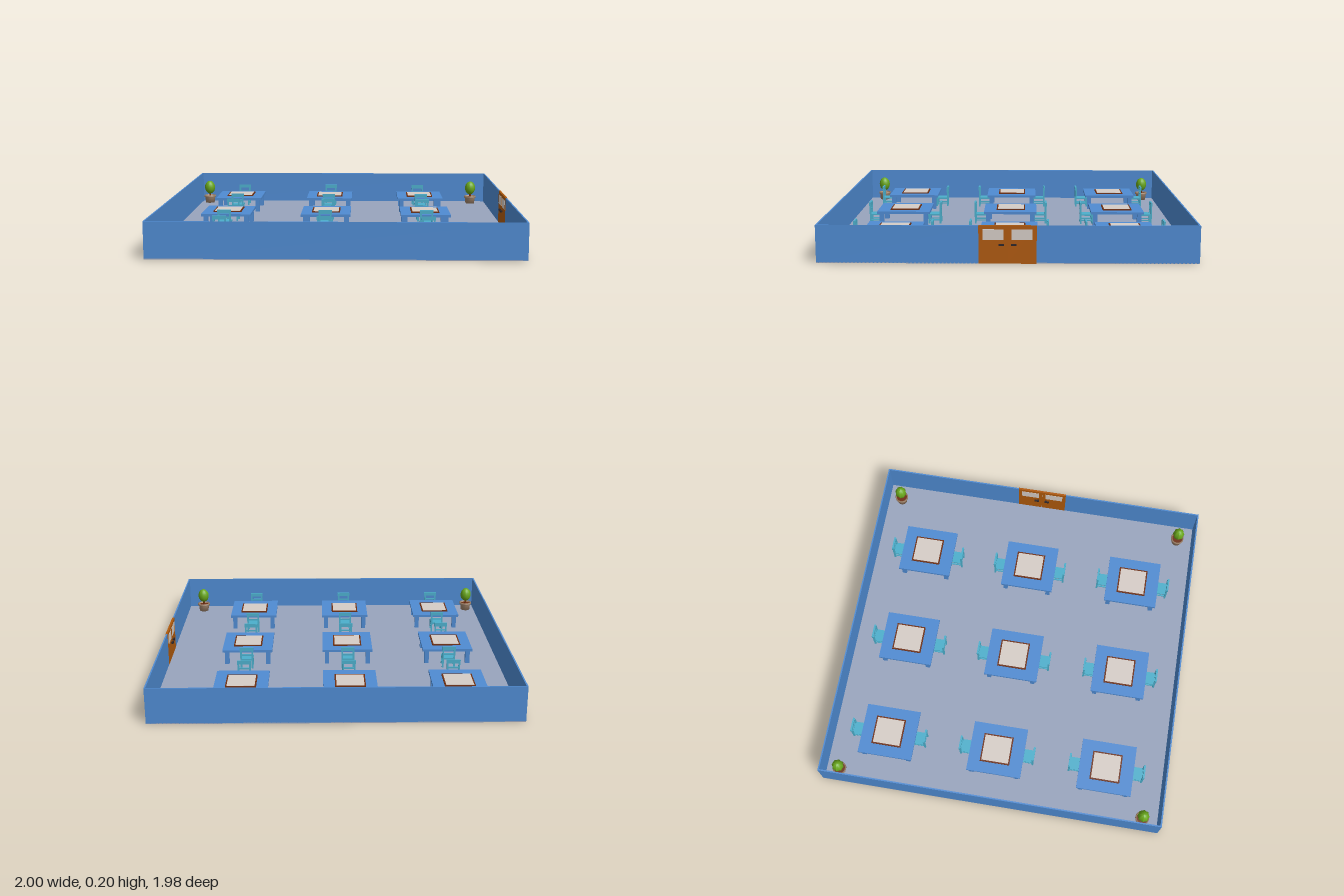
import * as THREE from 'three';

const mat = (name, color) => {
  const m = new THREE.MeshStandardMaterial({ color });
  m.name = name;
  return m;
};

export function createModel() {
  const blue = mat('blue', 0x4f8bd2);
  const grey = mat('floorGrey', 0x98a4bd);
  const teal = mat('teal', 0x4cafcc);
  const orange = mat('doorOrange', 0xb05a0c);
  const cream = mat('cream', 0xd6cdc7);
  const brown = mat('darkBrown', 0x6e2f12);
  const black = mat('handleBlack', 0x2a2428);
  const clay = mat('potClay', 0xa88a70);
  const green = mat('leafGreen', 0x6aa81c);

  const room = new THREE.Group();
  room.name = 'diningRoom';

  const add = (parent, name, geometry, material, x, y, z) => {
    const mesh = new THREE.Mesh(geometry, material);
    mesh.name = name;
    mesh.position.set(x, y, z);
    parent.add(mesh);
    return mesh;
  };
  // Box given by its centre in x and z and its bottom in y
  const box = (parent, name, material, w, h, d, x, y, z) =>
    add(parent, name, new THREE.BoxGeometry(w, h, d), material, x, y + h / 2, z);
  const group = (name, x, z, parent = room) => {
    const g = new THREE.Group();
    g.name = name;
    g.position.set(x, 0, z);
    parent.add(g);
    return g;
  };

  // Floor and walls, with a gap for the door on the +x side
  const cx = -0.009, wall = 0.2, t = 0.008, half = 0.99;
  box(room, 'floor', grey, 1.98, 0.005, 1.98, cx, 0, 0);
  for (const s of [-1, 1]) {
    box(room, s > 0 ? 'frontWall' : 'backWall', blue, 1.98, wall, t, cx, 0, s * (half - t / 2));
    box(room, 'doorSideWall', blue, t, wall, 0.832, 0.977, 0, s * 0.566);
  }
  box(room, 'rightWall', blue, t, wall, 1.964, -0.995, 0, 0);

  // Double door
  const door = group('doubleDoor', 0.978, 0);
  for (const s of [-1, 1]) {
    box(door, 'doorLeaf', orange, 0.012, wall, 0.149, 0, 0, s * 0.0755);
    box(door, 'doorWindow', cream, 0.015, 0.056, 0.108, 0, 0.125, s * 0.075);
    box(door, 'handleRod', black, 0.04, 0.008, 0.009, 0.001, 0.097, s * 0.025);
    for (const side of [-1, 1])
      box(door, 'handleLever', black, 0.009, 0.009, 0.028, 0.001 + side * 0.0165, 0.0965, s * 0.032);
  }

  // Chair facing -z, with its back at local z = 0.22
  function chair(parent, turn) {
    const c = group('chair', 0, 0, parent);
    c.rotation.y = turn;
    box(c, 'seat', teal, 0.074, 0.009, 0.08, 0, 0.055, 0.178);
    for (const s of [-1, 1]) {
      box(c, 'frontLeg', teal, 0.01, 0.055, 0.01, s * 0.031, 0, 0.145);
      box(c, 'backPost', teal, 0.01, 0.13, 0.01, s * 0.033, 0, 0.215);
      box(c, 'sideStretcher', teal, 0.007, 0.007, 0.07, s * 0.031, 0.022, 0.18);
    }
    box(c, 'topRail', teal, 0.08, 0.022, 0.01, 0, 0.113, 0.217);
    box(c, 'middleRail', teal, 0.066, 0.009, 0.007, 0, 0.085, 0.215);
  }

  // Table with a framed mat and two chairs
  function tableSet(x, z) {
    const g = group('tableSet', x, z);
    box(g, 'tableTop', blue, 0.295, 0.014, 0.318, 0, 0.084, 0);
    for (const sx of [-1, 1])
      for (const sz of [-1, 1])
        box(g, 'tableLeg', blue, 0.026, 0.084, 0.026, sx * 0.122, 0, sz * 0.133);
    box(g, 'matFrame', brown, 0.168, 0.006, 0.174, 0, 0.098, -0.003);
    box(g, 'matSurface', cream, 0.152, 0.002, 0.158, 0, 0.1035, -0.003);
    chair(g, 0);
    chair(g, Math.PI);
  }
  for (const x of [-0.685, -0.09, 0.505])
    for (const z of [-0.648, -0.002, 0.644]) tableSet(x, z);

  // Potted shrub: lathed pot, soil, trunk and an egg-shaped leafy crown
  const potGeo = new THREE.LatheGeometry(
    [[0, 0.004], [0.03, 0.004], [0.034, 0.044], [0.04, 0.044], [0.04, 0.056], [0.033, 0.056], [0.032, 0.045]]
      .map(([r, y]) => new THREE.Vector2(r, y)), 16);
  const crownGeo = new THREE.SphereGeometry(0.033, 16, 10);
  const p = crownGeo.attributes.position;
  for (let i = 0; i < p.count; i++) {
    const a = Math.atan2(p.getZ(i), p.getX(i));
    const k = 1 + 0.07 * Math.cos(a * 8);
    p.setXYZ(i, p.getX(i) * k, p.getY(i) * 1.35, p.getZ(i) * k);
  }
  crownGeo.computeVertexNormals();
  for (const x of [-0.935, 0.872])
    for (const z of [-0.9, 0.889]) {
      const g = group('pottedPlant', x, z);
      const pot = add(g, 'pot', potGeo, clay, 0, 0, 0);
      pot.material.side = THREE.DoubleSide;
      add(g, 'soil', new THREE.CylinderGeometry(0.0325, 0.0325, 0.004, 16), brown, 0, 0.046, 0);
      add(g, 'trunk', new THREE.CylinderGeometry(0.006, 0.007, 0.04, 8), brown, 0, 0.062, 0);
      add(g, 'crown', crownGeo, green, 0, 0.111, 0);
    }

  return room;
}
